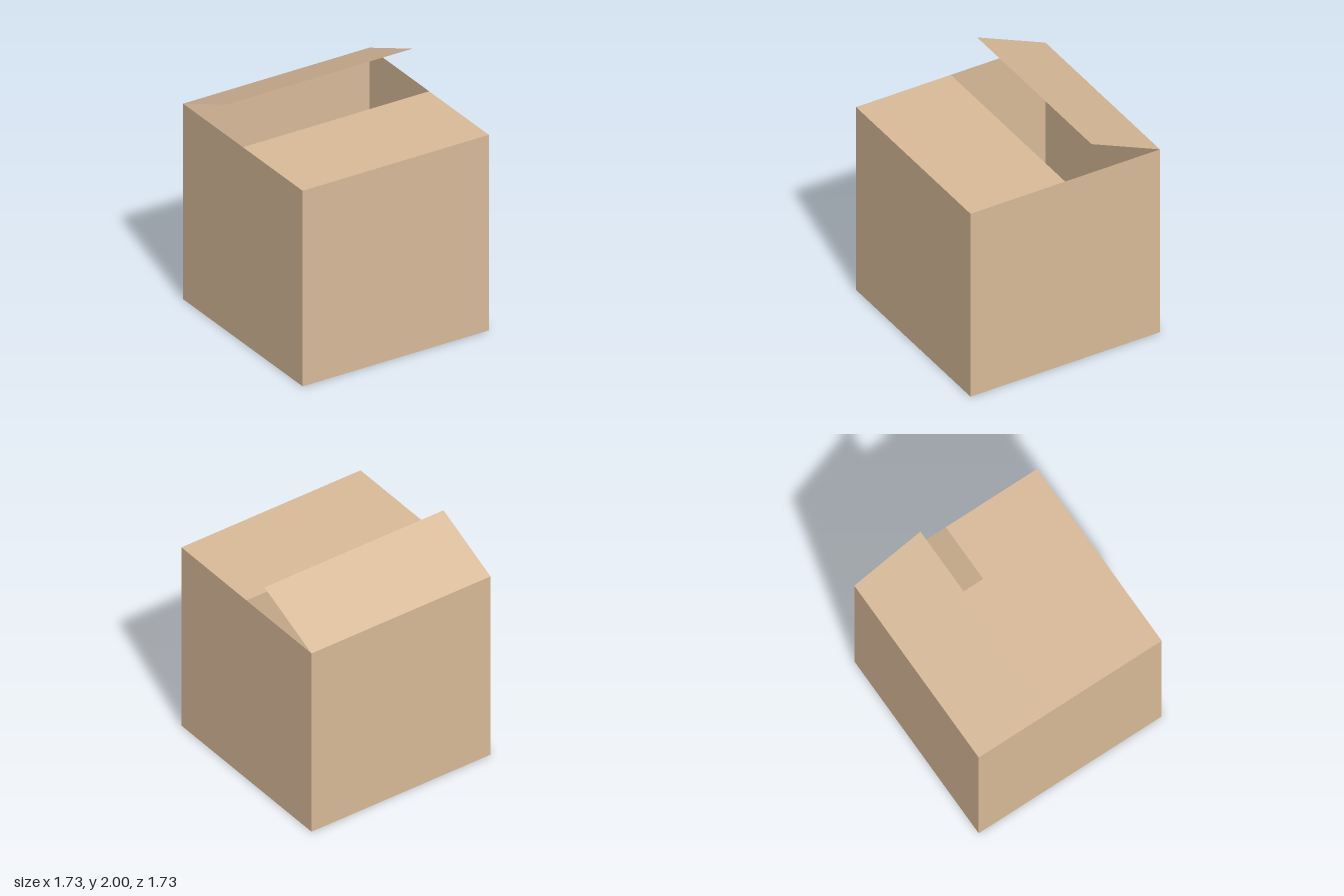
import * as THREE from 'three';

export function createModel() {
  const model = new THREE.Group();
  model.name = 'openCardboardBox';

  const cardboard = new THREE.MeshStandardMaterial({ color: 0xd9bb99, side: THREE.DoubleSide });
  cardboard.name = 'cardboard';

  const size = 1.73;
  const half = size / 2;

  // One sheet of card, its face turned by rx or ry
  function panel(name, depth, [x, y, z], rx = 0, ry = 0) {
    const mesh = new THREE.Mesh(new THREE.PlaneGeometry(size, depth), cardboard);
    mesh.name = name;
    mesh.position.set(x, y, z);
    mesh.rotation.set(rx, ry, 0);
    model.add(mesh);
    return mesh;
  }

  // Walls, facing outward
  panel('frontWall', size, [0, half, half]);
  panel('backWall', size, [0, half, -half], 0, Math.PI);
  panel('leftWall', size, [half, half, 0], 0, Math.PI / 2);
  panel('rightWall', size, [-half, half, 0], 0, -Math.PI / 2);

  // Floor, facing down
  panel('floor', size, [0, 0, 0], Math.PI / 2);

  // Front flap, folded shut to the middle
  panel('frontFlap', half, [0, size, half / 2], -Math.PI / 2);

  // Back flap, hinged on the back wall and standing partly open
  const rise = 2 - size;
  const reach = half - 0.24;
  panel('backFlap', Math.hypot(rise, reach), [0, size + rise / 2, -half + reach / 2],
    -Math.PI / 2 - Math.atan2(rise, reach));

  return model;
}
